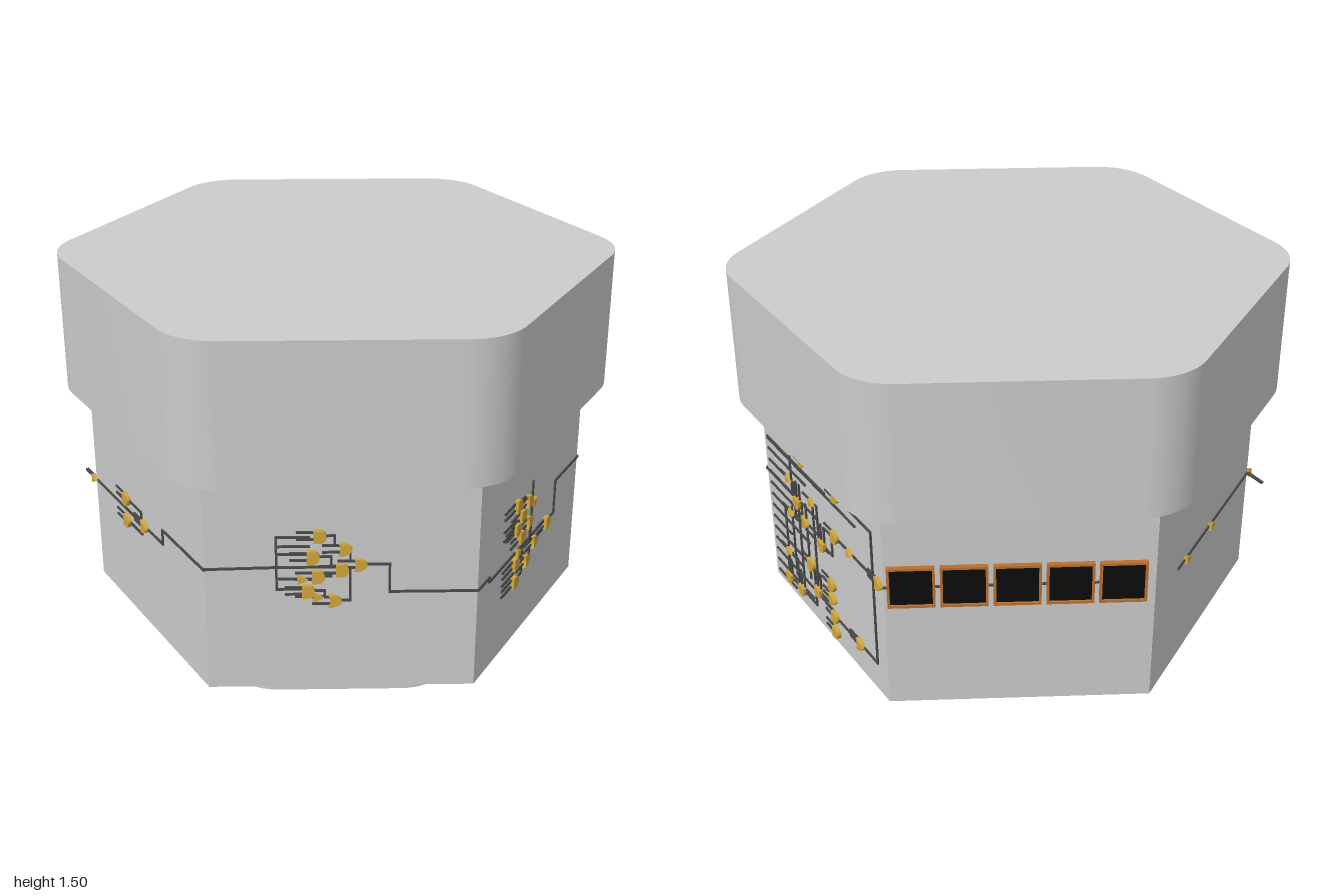
import * as THREE from 'three';
import { mergeGeometries, toCreasedNormals } from 'three/addons/utils/BufferGeometryUtils.js';

const grey = new THREE.MeshStandardMaterial({ color: 0xcccccc });
const flatGrey = new THREE.MeshStandardMaterial({ color: 0xcccccc, flatShading: true });
const wireMat = new THREE.MeshStandardMaterial({ color: 0x4a4a4a });
const goldMat = new THREE.MeshStandardMaterial({ color: 0xd0a63c });
const copperMat = new THREE.MeshStandardMaterial({ color: 0xb8702e });
const blackMat = new THREE.MeshStandardMaterial({ color: 0x0c0c0c });

const APOTHEM = 0.8, EDGE = 0.462; // body side distance and half width

function addMesh(parent, name, geometry, material) {
  const mesh = new THREE.Mesh(geometry, material);
  mesh.name = name;
  parent.add(mesh);
  return mesh;
}

// Hexagonal slab with rounded corners, from y0 to y1
function roundedHex(apothem, radius, y0, y1) {
  const shape = new THREE.Shape();
  const d = (apothem - radius) / Math.cos(Math.PI / 6);
  for (let k = 0; k < 6; k++) {
    const a = Math.PI / 2 + k * Math.PI / 3;
    shape.absarc(d * Math.cos(a), d * Math.sin(a), radius, a - Math.PI / 6, a + Math.PI / 6, false);
  }
  shape.closePath();
  const geo = new THREE.ExtrudeGeometry(shape, { depth: y1 - y0, bevelEnabled: false, curveSegments: 12 });
  geo.rotateX(-Math.PI / 2).translate(0, y0, 0);
  return toCreasedNormals(geo, 0.5);
}

// Gate outlines pointing along +x: a = and, o = or, n = not
function gateShape(kind) {
  const s = new THREE.Shape();
  if (kind === 'n') {
    s.moveTo(-0.017, -0.017).lineTo(0.019, 0).lineTo(-0.017, 0.017);
  } else if (kind === 'o') {
    s.moveTo(-0.022, -0.024).quadraticCurveTo(0.012, -0.024, 0.024, 0);
    s.quadraticCurveTo(0.012, 0.024, -0.022, 0.024).quadraticCurveTo(-0.011, 0, -0.022, -0.024);
  } else {
    s.moveTo(-0.02, -0.024).lineTo(0, -0.024);
    s.absarc(0, 0, 0.024, -Math.PI / 2, Math.PI / 2, false).lineTo(-0.02, 0.024);
  }
  return s;
}

// Wire along a path u, v, u, v, ... of straight runs
function wire(...path) {
  const parts = [], w = 0.008;
  for (let i = 0; i + 3 < path.length; i += 2) {
    const [u0, v0, u1, v1] = path.slice(i, i + 4);
    const box = new THREE.BoxGeometry(Math.hypot(u1 - u0, v1 - v0) + w, w, 0.012);
    box.rotateZ(Math.atan2(v1 - v0, u1 - u0));
    parts.push(box.translate((u0 + u1) / 2, (v0 + v1) / 2, 0));
  }
  return parts;
}

// A frame lying on one side of the body: x runs right, z points outward
function sideGroup(root, name, degrees) {
  const g = new THREE.Group();
  const a = THREE.MathUtils.degToRad(degrees);
  g.name = name;
  g.rotation.y = a;
  g.position.set(Math.sin(a) * APOTHEM, 0, Math.cos(a) * APOTHEM);
  root.add(g);
  return g;
}

// Each gate's output steps across to the closest gate on its right
function outputWire(gate, gates) {
  const gap = (g) => Math.hypot(g[0] - gate[0], g[1] - gate[1]);
  const next = gates.filter((g) => g[0] - gate[0] > 0.045 && gap(g) < 0.2).sort((p, q) => gap(p) - gap(q))[0];
  if (!next) return [];
  const [u, v] = gate;
  const end = next[1] + THREE.MathUtils.clamp(v - next[1], -0.013, 0.013);
  const mid = next[0] - 0.035;
  return wire(u, v, mid, v, mid, end, next[0], end);
}

// Gates sit at [u, v]; each letter of kinds is one gate, capitals point down
function addCircuit(root, name, degrees, kinds, lead, gates, extraWires) {
  const side = sideGroup(root, name, degrees);
  const wires = [...extraWires], bodies = [];
  gates.forEach((gate, i) => {
    const kind = kinds[i].toLowerCase();
    const turn = kinds[i] === kind ? 0 : -Math.PI / 2;
    const place = (geo) => geo.rotateZ(turn).translate(gate[0], gate[1], 0);
    const body = new THREE.ExtrudeGeometry(gateShape(kind), { depth: 0.016, bevelEnabled: false, curveSegments: 6 });
    bodies.push(place(body));
    // Input leads: one for a not gate, otherwise two
    for (const o of kind === 'n' ? [0] : [-0.013, 0.013]) wires.push(...wire(-0.014 - lead, o, -0.014, o).map(place));
    wires.push(...outputWire(gate, gates));
  });
  addMesh(side, 'wires', mergeGeometries(wires), wireMat);
  addMesh(side, 'gates', toCreasedNormals(mergeGeometries(bodies), 0.6), goldMat);
}

function addCircuits(root) {
  addCircuit(root, 'leftCircuit', -90, 'nn', 0.06, [[-0.18, 0.58], [0.06, 0.58]], wire(-0.18, 0.58, EDGE, 0.58));

  addCircuit(root, 'frontLeftCircuit', -30, 'aaon', 0.08,
    [[-0.162, 0.625], [-0.162, 0.535], [-0.006, 0.58], [-0.455, 0.58]],
    [...wire(-EDGE, 0.58, -0.02, 0.58), ...wire(0, 0.58, 0.139, 0.58, 0.139, 0.637, EDGE, 0.637)]);

  addCircuit(root, 'frontRightCircuit', 30, 'aoaoaanano', 0.06,
    [[-0.075, 0.765], [0.012, 0.715], [-0.098, 0.685], [0.064, 0.655], [0, 0.635],
      [-0.08, 0.61], [-0.133, 0.6], [-0.115, 0.553], [-0.08, 0.53], [-0.023, 0.515]],
    [...wire(-EDGE, 0.64, -0.22, 0.645, -0.02, 0.645), ...wire(-0.22, 0.56, -0.22, 0.76),
      ...[0.56, 0.6, 0.695, 0.725, 0.76].flatMap((v) => wire(-0.22, v, -0.11, v)),
      ...wire(0.08, 0.655, 0.162, 0.655, 0.162, 0.547, EDGE, 0.547)]);

  addCircuit(root, 'rightCircuit', 90, 'aoNaaoanaooaa', 0.07,
    [[-0.145, 0.725], [-0.04, 0.7], [0, 0.67], [-0.1, 0.665], [-0.145, 0.63], [-0.03, 0.61], [-0.1, 0.58],
      [-0.125, 0.53], [-0.145, 0.49], [0.03, 0.5], [-0.04, 0.455], [-0.145, 0.415], [0.15, 0.52]],
    [...wire(-EDGE, 0.547, -0.37, 0.547, -0.37, 0.53, 0.13, 0.53), ...wire(0, 0.67, 0, 0.51),
      ...[0.403, 0.427, 0.45, 0.478, 0.502, 0.63, 0.665, 0.713, 0.737].flatMap((v) => wire(-0.25, v, -0.15, v)),
      ...wire(0.15, 0.52, 0.23, 0.52, 0.23, 0.655, EDGE, 0.655)]);

  // Dense side: rows of input wires of varied length, crossed by vertical buses
  const rows = [];
  for (let k = 0; k < 15; k++) {
    const v = 0.2 + k * 0.051;
    rows.push(...wire(-0.43, v, -0.28 + 0.08 * ((k * 2) % 5), v));
  }
  for (let k = 0; k < 5; k++) rows.push(...wire(-0.32 + k * 0.063, 0.25 + 0.03 * k, -0.32 + k * 0.063, 0.55 + 0.04 * k));
  addCircuit(root, 'backRightCircuit', 150, 'aoonAanonoAnaanoAoaAAa', 0.07,
    [[-0.02, 0.925], [-0.12, 0.86], [0.14, 0.85], [-0.06, 0.715], [-0.19, 0.645], [0.11, 0.665], [0.23, 0.665], [0.44, 0.665],
      [-0.25, 0.715], [-0.13, 0.59], [0, 0.565], [-0.25, 0.565], [-0.11, 0.415], [0.06, 0.425], [-0.3, 0.36], [0.06, 0.36],
      [-0.06, 0.32], [0.27, 0.29], [0.07, 0.285], [-0.32, 0.23], [-0.21, 0.235], [0.07, 0.215]],
    [...rows, ...wire(-EDGE, 0.655, -0.24, 0.655, -0.24, 0.82), ...wire(-0.43, 0.805, 0.27, 0.805),
      ...wire(0.11, 0.665, 0.44, 0.665), ...wire(0.07, 0.285, 0.27, 0.285),
      ...wire(0.14, 0.85, 0.39, 0.85, 0.39, 0.29, 0.27, 0.29)]);
}

// Row of five dark square displays in copper frames
function addDisplays(root) {
  const side = sideGroup(root, 'displayRow', 210);
  const size = 0.163, rim = 0.009, pitch = 0.18;
  const h = size / 2, i = h - rim;
  const frame = new THREE.Shape().moveTo(-h, -h).lineTo(h, -h).lineTo(h, h).lineTo(-h, h);
  frame.holes.push(new THREE.Path().moveTo(-i, -i).lineTo(-i, i).lineTo(i, i).lineTo(i, -i));
  const frameGeo = new THREE.ExtrudeGeometry(frame, { depth: 0.018, bevelEnabled: false });
  const screenGeo = new THREE.BoxGeometry(i * 2, i * 2, 0.02);
  for (let k = -2; k <= 2; k++) {
    const x = -0.01 + k * pitch;
    addMesh(side, 'displayFrame', frameGeo, copperMat).position.set(x, 0.67, 0);
    addMesh(side, 'displayScreen', screenGeo, blackMat).position.set(x, 0.67, 0);
  }
  addMesh(side, 'displayWire', mergeGeometries(wire(-EDGE, 0.665, 0.35, 0.665)), wireMat);
}

export function createModel() {
  const root = new THREE.Group();
  root.name = 'hexagonalCircuitPost';

  // Rounded foot, sharp hexagonal body and wide rounded cap
  addMesh(root, 'foot', roundedHex(0.586, 0.2, 0, 0.165), grey);
  const corner = APOTHEM / Math.cos(Math.PI / 6);
  addMesh(root, 'body', new THREE.CylinderGeometry(corner, corner, 0.82, 6), flatGrey).position.y = 0.575;
  addMesh(root, 'cap', roundedHex(0.896, 0.22, 0.985, 1.5), grey);

  // Circuits around the body, ending at the displays
  addCircuits(root);
  addDisplays(root);
  return root;
}
